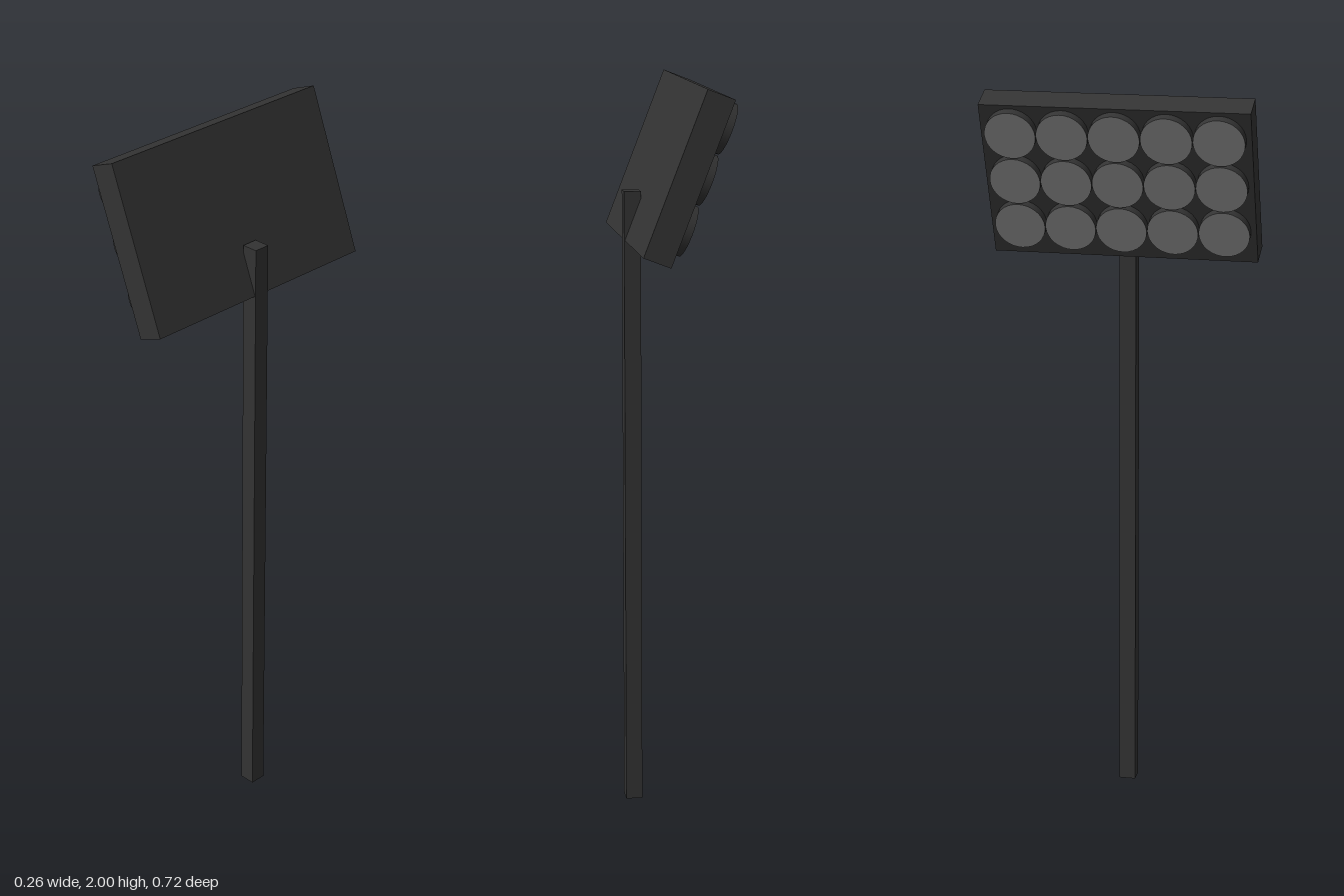
import * as THREE from 'three';

export function createModel() {
  const model = new THREE.Group();
  model.name = 'floodlight';
  const dark = new THREE.MeshStandardMaterial({ color: 0x333333 });
  const glass = new THREE.MeshStandardMaterial({ color: 0x808080 });

  const add = (parent, name, geometry, material, x, y, z) => {
    const mesh = new THREE.Mesh(geometry, material);
    mesh.name = name;
    mesh.position.set(x, y, z);
    parent.add(mesh);
    return mesh;
  };

  // Square post
  add(model, 'post', new THREE.BoxGeometry(0.045, 1.705, 0.045), dark, 0.105, 0.8525, 0);

  // Tilted head, lamps facing -x and downwards
  const head = new THREE.Group();
  head.name = 'lampHead';
  head.position.set(0.0075, 1.7725, 0);
  head.rotation.z = THREE.MathUtils.degToRad(21.2);
  model.add(head);

  const depth = 0.077, protrusion = 0.023;
  add(head, 'housing', new THREE.BoxGeometry(depth, 0.456, 0.72), dark, 0, 0, 0);

  // Three rows of five round lamps: a rim with a flat lens on its end
  const radius = 0.0685, spacing = 0.1385;
  const rim = new THREE.CylinderGeometry(radius, radius, protrusion, 32, 1, true).rotateZ(Math.PI / 2);
  const lens = new THREE.CircleGeometry(radius, 32).rotateY(-Math.PI / 2);
  for (let row = 0; row < 3; row++) {
    for (let col = -2; col <= 2; col++) {
      const lamp = new THREE.Group();
      lamp.name = 'lamp';
      lamp.position.set(-depth / 2, 0.15 - row * 0.14, col * spacing);
      add(lamp, 'lampRim', rim, dark, -protrusion / 2, 0, 0);
      add(lamp, 'lampLens', lens, glass, -protrusion, 0, 0);
      head.add(lamp);
    }
  }
  return model;
}
